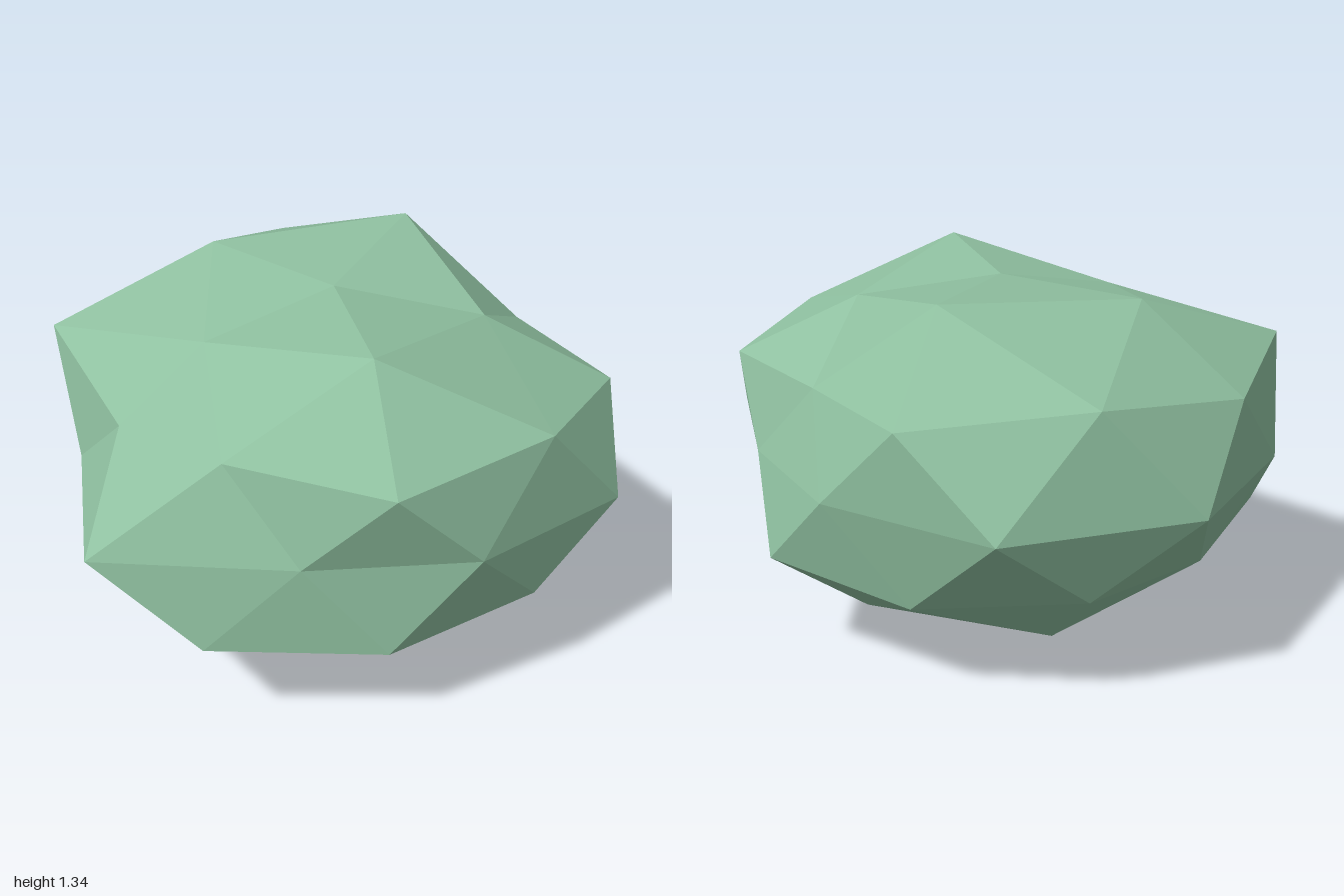
import * as THREE from 'three';

// Radial stretch of each point of a subdivided icosahedron, ring by ring:
// [elevation sine, horizontal radius, first angle in degrees, stretches]
const RINGS = {
  T: [1, 0, 0, [0.967]],
  M: [0.851, 0.5257, 0, [0.98, 1.185, 0.94, 1.13, 1.215]],
  N: [0.526, 0.851, 36, [1.105, 0.98, 1.175, 1.22, 0.915]],
  U: [0.447, 0.894, 0, [1.07, 1.087, 0.912, 1.12, 1.155]],
  E: [0, 1, 18, [1.05, 0.96, 0.904, 1.16, 0.905, 1.02, 1.14, 1.16, 0.985, 0.905]],
  K: [-0.526, 0.851, 0, [0.905, 1.065, 0.905, 1.02, 1.085]],
  L: [-0.447, 0.894, 36, [1.02, 1.13, 1.055, 1.09, 1.09]],
  P: [-0.851, 0.5257, 36, [1.13 - 0.16, 0.9, 1.11, 1.15, 1.13]],
  B: [-1, 0, 0, [1.19]],
};

// Point k of a ring, squashed vertically and slightly front to back
function point(name, k) {
  const [h, radius, start, stretch] = RINGS[name];
  const n = stretch.length;
  const r = stretch[k % n];
  const a = THREE.MathUtils.degToRad(start + (360 / n) * (k % n));
  return [r * radius * Math.cos(a), 0.715 + 0.601 * r * h, 0.09 + 0.94 * r * radius * Math.sin(a)];
}

function rockGeometry() {
  const pos = [];
  const tri = (...corners) => corners.forEach(([name, k]) => pos.push(...point(name, k)));
  for (let i = 0; i < 5; i++) {
    const n = i + 1;
    const T = ['T', 0], B = ['B', 0];
    const Mi = ['M', i], Mn = ['M', n], Ni = ['N', i], Ui = ['U', i], Un = ['U', n];
    const e0 = ['E', 2 * i], e1 = ['E', 2 * i + 1], e2 = ['E', 2 * i + 2];
    const Kn = ['K', n], Li = ['L', i], Ln = ['L', n], Pi = ['P', i], Pn = ['P', n];
    // crown
    tri(T, Mn, Mi); tri(Mi, Mn, Ni); tri(Mi, Ni, Ui); tri(Mn, Un, Ni);
    // belt, pointing down
    tri(Ui, Ni, e0); tri(Ni, Un, e1); tri(Ni, e1, e0); tri(e0, e1, Li);
    // belt, pointing up
    tri(Un, e2, e1); tri(e1, e2, Kn); tri(e2, Ln, Kn); tri(e1, Kn, Li);
    // underside
    tri(Li, Kn, Pi); tri(Kn, Ln, Pn); tri(Kn, Pn, Pi); tri(Pi, Pn, B);
  }
  const g = new THREE.BufferGeometry();
  g.setAttribute('position', new THREE.Float32BufferAttribute(pos, 3));
  g.computeVertexNormals();
  return g;
}

export function createModel() {
  const group = new THREE.Group();
  group.name = 'facetedBoulder';
  const green = new THREE.MeshStandardMaterial({ color: 0x8fc0a0, flatShading: true });
  green.name = 'sage green';
  const rock = new THREE.Mesh(rockGeometry(), green);
  rock.name = 'boulder';
  group.add(rock);
  return group;
}
